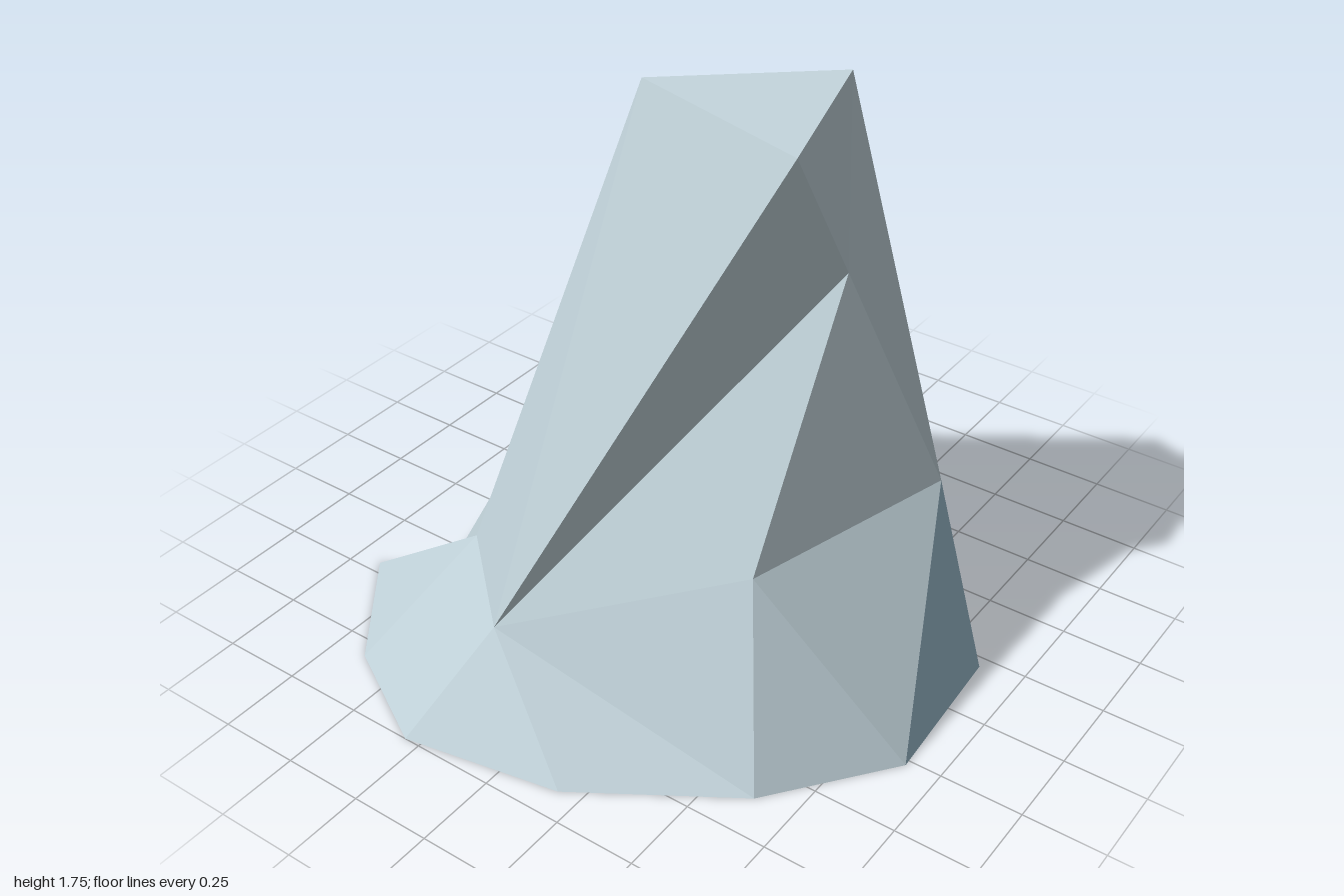
import * as THREE from 'three';

// Corners of the faceted boulder, from the crown down to the foot
const P = {
  // crown
  A: [-0.21, 1.67, -0.03], B: [0.39, 1.66, 0.12], C: [0.32, 1.75, -0.25], D: [0.14, 1.6, -0.44],
  // shoulders and ledges
  E: [0.46, 1.28, -0.04], F: [0.46, 0.53, 0.39], G: [-0.24, 0.21, 0.67], H: [-0.51, 0.27, 0.43],
  I: [-0.48, 0.75, -0.11], J: [0.68, 0.58, -0.24], K: [-0.06, 0.5, -0.81],
  // foot ring
  L: [0.1, 0, -1], M: [0.87, 0, -0.21], N: [0.9, 0, 0.27], O: [0.63, 0, 0.62], P: [0.18, 0, 0.91],
  Q: [-0.3, 0, 1], R: [-0.64, 0, 0.81], S: [-0.91, 0, 0.46], T: [-0.72, 0, 0.34], U: [-0.81, 0, -0.04],
};

// Each fan is a hub corner followed by its neighbours, anticlockwise from outside
function fanMesh(name, fans, material) {
  const pos = [];
  for (const [hub, ...ring] of fans) {
    for (let i = 0; i + 1 < ring.length; i++) pos.push(...P[hub], ...P[ring[i]], ...P[ring[i + 1]]);
  }
  const geo = new THREE.BufferGeometry();
  geo.setAttribute('position', new THREE.Float32BufferAttribute(pos, 3));
  geo.computeVertexNormals();
  const mesh = new THREE.Mesh(geo, material);
  mesh.name = name;
  return mesh;
}

export function createModel() {
  // The shell is open underneath, so both sides show
  const opts = { flatShading: true, side: THREE.DoubleSide };
  const paleStone = new THREE.MeshStandardMaterial({ name: 'pale stone', color: 0xbccdd4, ...opts });
  const blueStone = new THREE.MeshStandardMaterial({ name: 'blue stone', color: 0x98b8c9, ...opts });

  const rock = new THREE.Group();
  rock.name = 'rock';
  rock.add(
    fanMesh('crown', ['ABCD'], paleStone),
    fanMesh('frontFace', ['GRQPOFEBAHR'], paleStone),
    fanMesh('leftSide', ['HAITSR', 'IAD', 'IUT'], paleStone),
    fanMesh('rightSide', ['JDCEFN', 'FON', 'ECB'], paleStone),
    fanMesh('backFace', ['JNMLKD', 'IDKU', 'KLU'], blueStone),
  );
  return rock;
}
